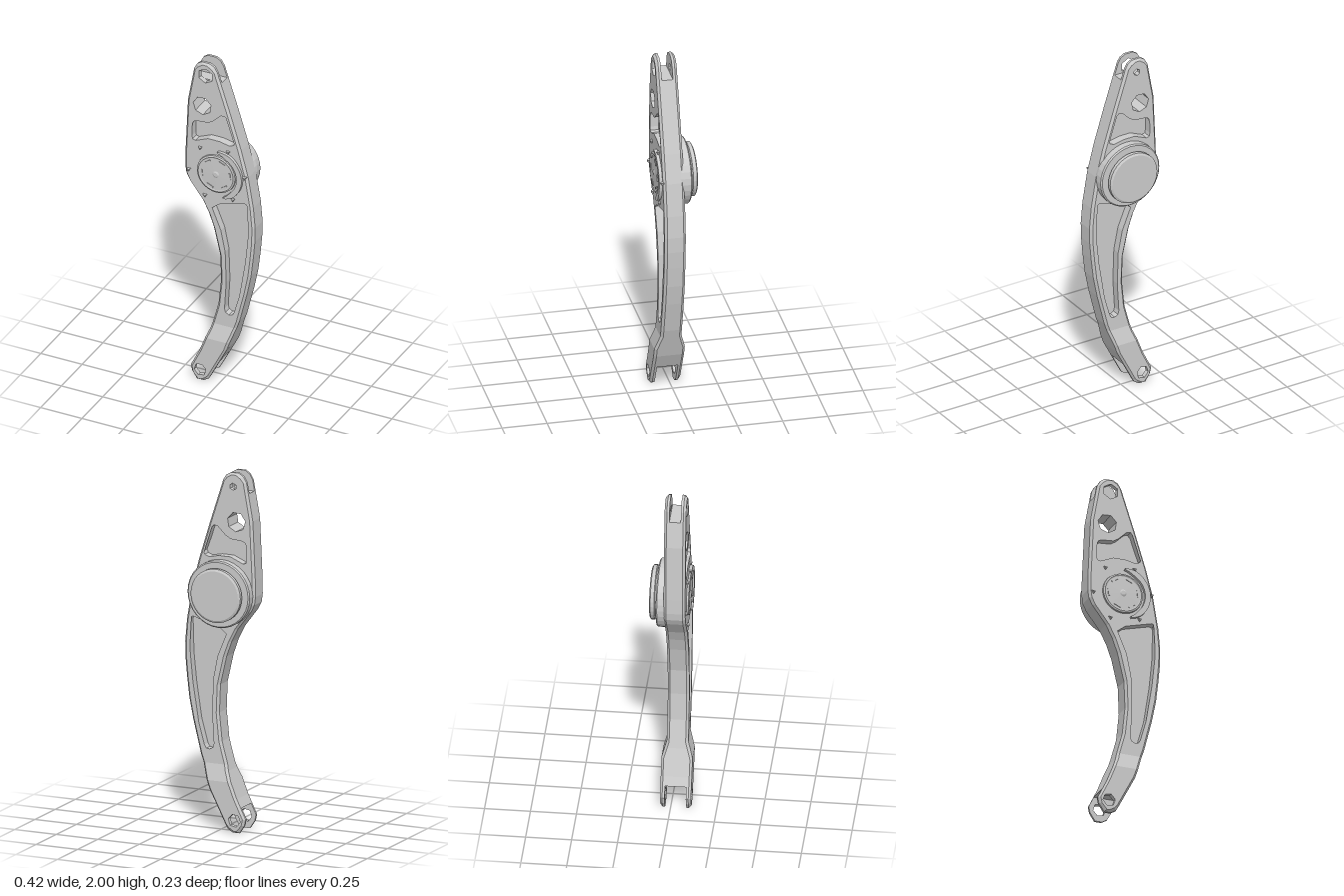
import * as THREE from 'three';

const mat = new THREE.MeshStandardMaterial({ color: 0xcccccc, flatShading: true });
const CZ = 0.028; // middle plane of the arm

// Edges of the arm, as [x, y] from bottom to top
const LEFT = [[-.13, 0], [-.16, .045], [-.167, .08], [-.114, .188], [-.056, .336], [-.013, .495], [.003, .653],
  [-.003, .81], [-.04, .97], [-.07, 1.055], [-.108, 1.13], [-.188, 1.235], [-.208, 1.275], [-.214, 1.32],
  [-.213, 1.41], [-.198, 1.74], [-.16, 1.95], [-.142, 1.982], [-.115, 2]];
const RIGHT = [[-.09, 0], [-.06, .018], [-.045, .045], [.05, .23], [.114, .415], [.16, .6], [.184, .72], [.198, .84],
  [.207, .94], [.209, 1.03], [.198, 1.156], [.167, 1.34], [.125, 1.5], [.06, 1.71], [-.02, 1.955], [-.038, 1.985], [-.065, 2]];

// Pocket outlines
const LOWER = [[-.045, 1.1], [0, 1.135], [.155, 1.177], [.172, 1.172], [.177, 1.155], [.172, .97], [.156, .81], [.124, .6],
  [.087, .468], [.075, .45], [.056, .447], [.036, .458], [.03, .48], [.04, .65], [.034, .84], [.008, .97], [-.04, 1.087]];
const UPPER = [[-.167, 1.6], [-.155, 1.62], [-.135, 1.627], [-.07, 1.632], [-.04, 1.65], [.008, 1.696], [.03, 1.7],
  [.045, 1.685], [.066, 1.62], [.093, 1.548], [.085, 1.53], [.06, 1.52], [0, 1.532], [-.07, 1.532], [-.145, 1.5], [-.163, 1.505], [-.167, 1.525]];

const ring = (x, y, r, n, a = 0) => Array.from({ length: n }, (_, i) => {
  const t = a + i / n * Math.PI * 2;
  return [x + r * Math.cos(t), y + r * Math.sin(t)];
});
const toShape = (pts, C = THREE.Shape) => new C(pts.map(p => new THREE.Vector2(...p)));

function edgeX(edge, y) {
  let i = 1;
  while (i < edge.length - 1 && edge[i][1] < y) i++;
  const [a, b] = [edge[i - 1], edge[i]];
  return a[0] + (b[0] - a[0]) * (y - a[1]) / (b[1] - a[1]);
}

// Part of the arm outline between two heights
function slice(y0, y1, holes = []) {
  const side = e => [[edgeX(e, y0), y0], ...e.filter(p => p[1] > y0 + 1e-6 && p[1] < y1 - 1e-6), [edgeX(e, y1), y1]];
  const s = toShape([...side(RIGHT), ...side(LEFT).reverse()]);
  s.holes = holes.map(h => toShape(h, THREE.Path));
  return s;
}

// Thickness widens toward the lower fork
const flare = y => THREE.MathUtils.clamp((.37 - y) / .09, 0, 1);
const inner = y => .031 + .027 * flare(y);
const outer = y => .0585 + .026 * flare(y);

function moved(shape, steps, rule, flip = false) {
  const g = new THREE.ExtrudeGeometry(shape, { depth: 1, steps, bevelEnabled: false, curveSegments: 24 });
  const p = g.attributes.position;
  for (let i = 0; i < p.count; i++) p.setXYZ(i, ...rule(p.getX(i), p.getY(i), p.getZ(i)));
  if (flip) {
    for (let i = 0; i < p.count; i += 3) {
      const b = [p.getX(i + 1), p.getY(i + 1), p.getZ(i + 1)];
      p.setXYZ(i + 1, p.getX(i + 2), p.getY(i + 2), p.getZ(i + 2));
      p.setXYZ(i + 2, ...b);
    }
  }
  g.computeVertexNormals();
  return g;
}

// Cheek plate with its outer rim chamfered
const cheek = (shape, sign) => moved(shape, 2, (x, y, t) => {
  let nx = x, ny = y;
  if (t > .9) {
    if (Math.abs(x - edgeX(LEFT, y)) < 1e-4) nx += .013;
    else if (Math.abs(x - edgeX(RIGHT, y)) < 1e-4) nx -= .013;
    if (y < .02) ny += .01;
    if (y > 1.98) ny -= .01;
  }
  return [nx, ny, CZ + sign * (inner(y) + t * (outer(y) - inner(y)))];
}, sign < 0);

export function createModel() {
  const root = new THREE.Group();
  const add = (name, geo, parent = root) => {
    const m = new THREE.Mesh(geo, mat);
    m.name = name;
    parent.add(m);
    return m;
  };
  const group = name => {
    const g = new THREE.Group();
    g.name = name;
    root.add(g);
    return g;
  };
  const round = ring(-.105, 1.73, .055, 7, .3);
  const forkHole = ring(-.105, .07, .037, 6, .2);

  // Front and back cheeks, running into the prongs of both forks
  for (const [name, sign] of [['frontCheek', 1], ['backCheek', -1]]) {
    const g = group(name);
    const pin = ring(-.085, 1.925, sign > 0 ? .045 : .02, 6, .5);
    add(name + 'Main', cheek(slice(.37, 2, [LOWER, UPPER, round, pin]), sign), g);
    add(name + 'Flare', cheek(slice(.28, .37), sign), g);
    add(name + 'Prong', cheek(slice(0, .28, [forkHole]), sign), g);
  }

  // Core between the cheeks, stopping short of the fork slots
  const core = group('core');
  const mid = (x, y, t) => [x, y, CZ + (t * 2 - 1) * inner(y)];
  add('coreMain', moved(slice(.37, 1.89, [LOWER, UPPER, round]), 1, mid), core);
  add('coreFlare', moved(slice(.28, .37), 1, mid), core);
  add('coreForkRoot', moved(slice(.14, .28), 1, mid), core);

  // Thin webs at the bottom of the pockets
  for (const [name, pts] of [['lowerWeb', LOWER], ['upperWeb', UPPER]])
    add(name, moved(toShape(pts), 1, (x, y, t) => [x, y, CZ + (t * 2 - 1) * .013]));

  // Pivot hub: turned discs along z
  const HX = -.017, HY = 1.325;
  const turned = (name, profile, n = 32) => {
    const g = new THREE.LatheGeometry(profile.map(p => new THREE.Vector2(...p)), n);
    g.rotateX(Math.PI / 2);
    add(name, g).position.set(HX, HY, 0);
  };
  turned('backFlange', [[0, -.075], [.18, -.075], [.187, -.068], [.187, -.03], [.18, 0], [0, 0]]);
  turned('backCap', [[0, -.115], [.138, -.115], [.15, -.108], [.15, -.088], [.138, -.084], [.138, -.07], [0, -.07]]);
  turned('frontDisc', [[0, .08], [.118, .08], [.115, .096], [.106, .1], [.1, .097], [.02, .099], [.012, .103], [0, .103]]);

  // Tapered crescent collar round the front disc
  const arc = (r0, r1) => Array.from({ length: 25 }, (_, i) => {
    const u = i / 24, a = -1.25 + u * 2.75, r = r0 + (r1 - r0) * Math.min(1, Math.sin(u * Math.PI) * 2.2);
    return [HX + r * Math.cos(a), HY + r * Math.sin(a)];
  });
  const crescent = toShape([...arc(.148, .158), ...arc(.14, .127).reverse()]);
  add('frontCollar', moved(crescent, 1, (x, y, t) => [x, y, .08 + t * .024]));

  // Short slots on the disc and small studs round the hub
  const marks = group('hubDetails');
  for (let i = 0; i < 6; i++) {
    const a = i * Math.PI / 3 + .1;
    const bar = add('discRib', new THREE.BoxGeometry(.008, .04, .008), marks);
    bar.position.set(HX + .085 * Math.cos(a), HY + .085 * Math.sin(a), .097);
    bar.rotation.z = a;
    const stud = new THREE.CylinderGeometry(.008, .016, .016, 3);
    stud.rotateX(Math.PI / 2);
    add('hubStud', stud, marks).position.set(HX + .17 * Math.cos(a), HY + .17 * Math.sin(a), .09);
  }
  return root;
}
